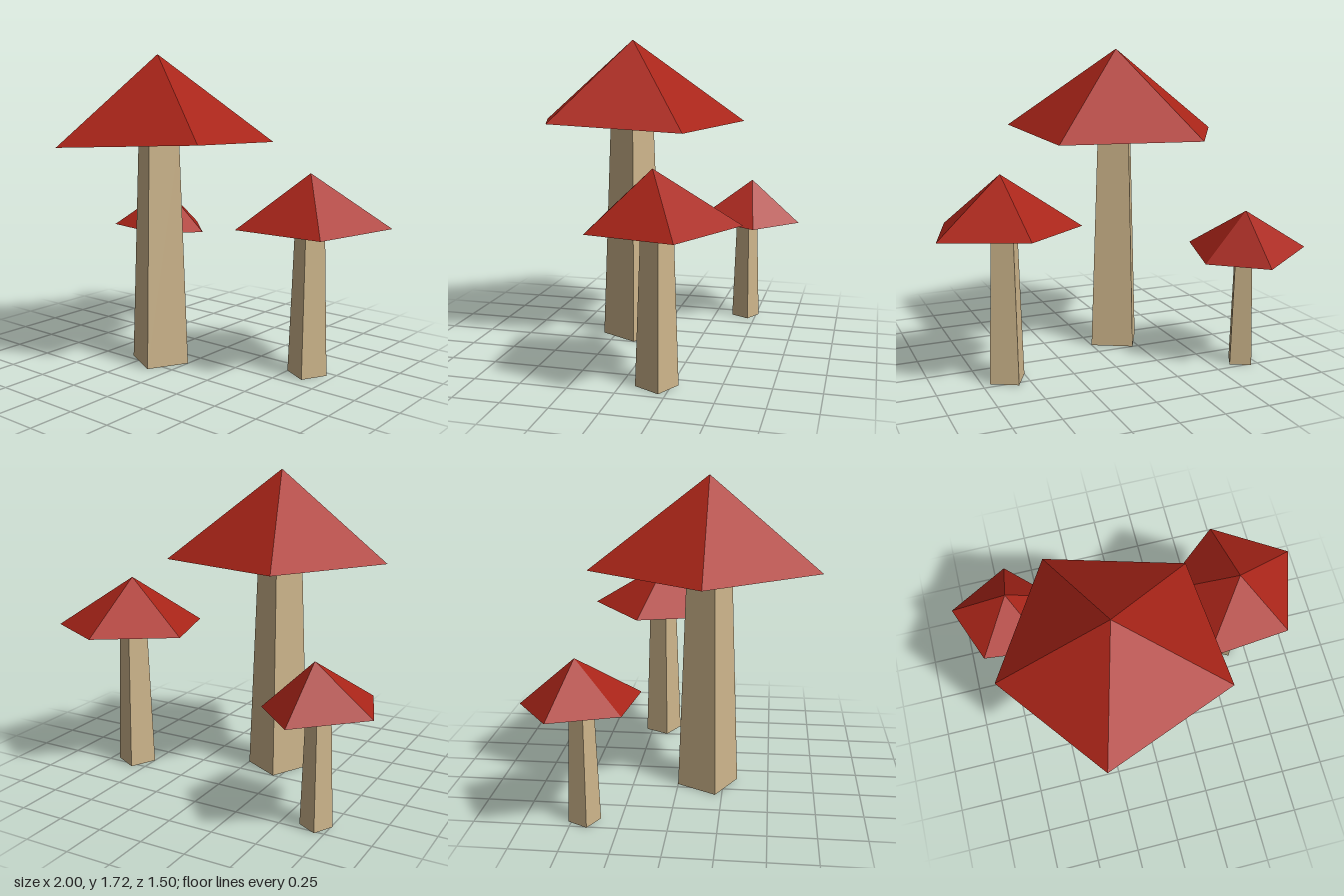
import * as THREE from 'three';

const capMaterial = new THREE.MeshStandardMaterial({ color: 0xa82418, flatShading: true });
const stemMaterial = new THREE.MeshStandardMaterial({ color: 0xcdb58b, flatShading: true });

// Closed faceted cap: a fan from the apex to the rim, and a fan underneath
function makeCap(apex, rim) {
  const n = rim.length;
  const centre = [0, 1, 2].map(k => rim.reduce((sum, p) => sum + p[k], 0) / n);
  const positions = [];
  for (let i = 0; i < n; i++) {
    const a = rim[i], b = rim[(i + 1) % n];
    positions.push(...apex, ...a, ...b, ...centre, ...b, ...a);
  }
  const geometry = new THREE.BufferGeometry();
  geometry.setAttribute('position', new THREE.Float32BufferAttribute(positions, 3));
  geometry.computeVertexNormals();
  const cap = new THREE.Mesh(geometry, capMaterial);
  cap.name = 'cap';
  return cap;
}

// Tapered square stem, turned slightly about its axis
function makeStem({ x, z, bottom, top, height }) {
  const geometry = new THREE.CylinderGeometry(top, bottom, height, 4, 1, false, 0.3);
  const stem = new THREE.Mesh(geometry, stemMaterial);
  stem.position.set(x, height / 2, z);
  stem.name = 'stem';
  return stem;
}

// Rim corners run left, front, right, back
const mushrooms = [
  {
    name: 'largeMushroom',
    stem: { x: -0.163, z: 0.163, bottom: 0.171, top: 0.122, height: 1.27 },
    apex: [-0.17, 1.72, 0.16],
    rim: [[-0.785, 1.25, 0.17], [-0.34, 1.248, 0.75], [0.375, 1.283, 0.48],
      [0.32, 1.246, -0.24], [-0.41, 1.255, -0.445]],
  },
  {
    name: 'mediumMushroom',
    stem: { x: 0.604, z: -0.18, bottom: 0.11, top: 0.081, height: 0.84 },
    apex: [0.615, 1.105, -0.16],
    rim: [[0.215, 0.828, -0.29], [0.365, 0.82, 0.165], [0.85, 0.814, 0.115],
      [0.995, 0.825, -0.355], [0.59, 0.842, -0.6]],
  },
  {
    name: 'smallMushroom',
    stem: { x: -0.677, z: -0.435, bottom: 0.084, top: 0.062, height: 0.65 },
    apex: [-0.665, 0.87, -0.465],
    rim: [[-1, 0.655, -0.54], [-0.87, 0.652, -0.2], [-0.49, 0.645, -0.16],
      [-0.4, 0.61, -0.51], [-0.65, 0.617, -0.755]],
  },
];

export function createModel() {
  const model = new THREE.Group();
  model.name = 'mushroomCluster';
  for (const { name, stem, apex, rim } of mushrooms) {
    const mushroom = new THREE.Group();
    mushroom.name = name;
    mushroom.add(makeStem(stem), makeCap(apex, rim));
    model.add(mushroom);
  }
  return model;
}
